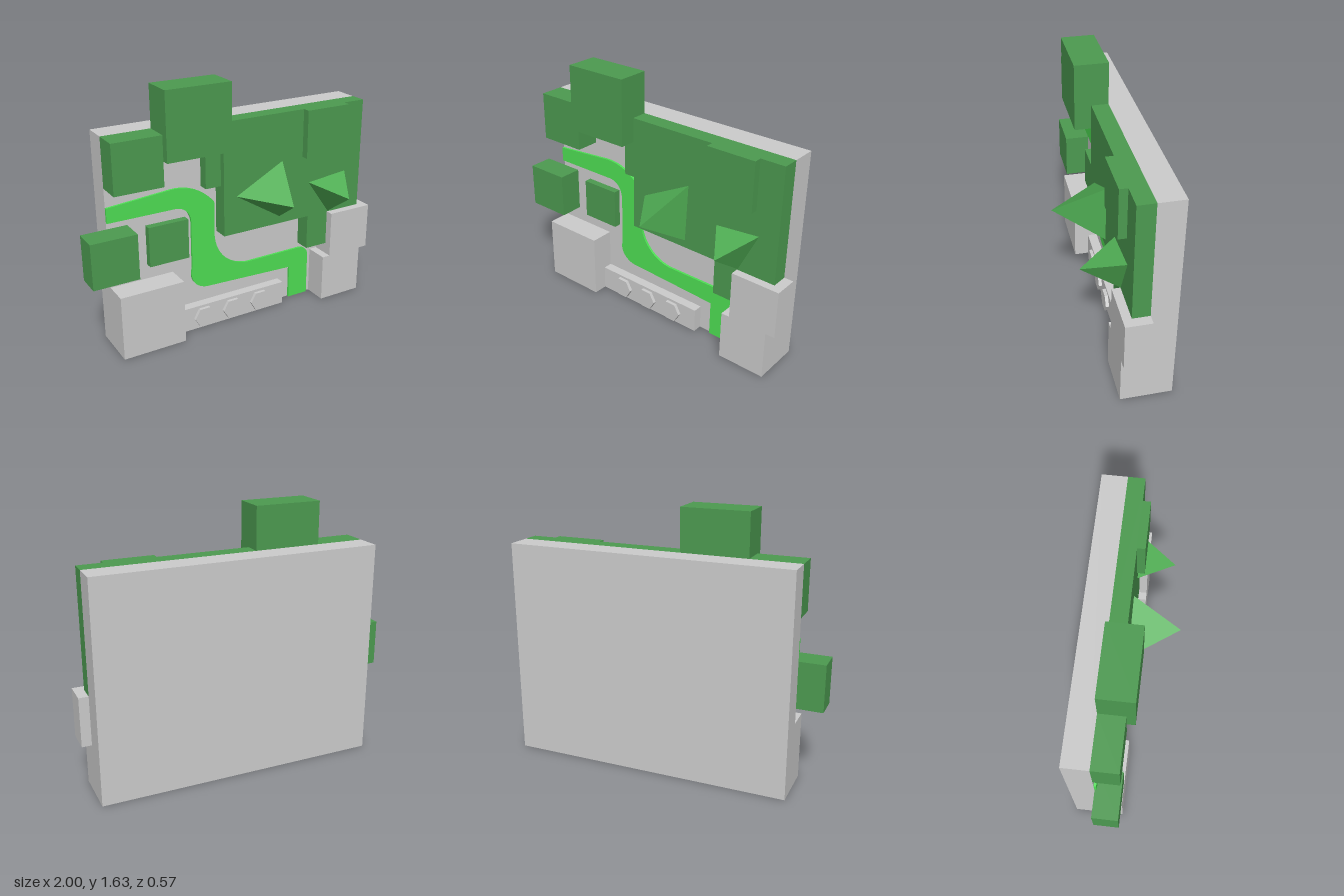
import * as THREE from 'three';

const material = (color) => new THREE.MeshStandardMaterial({ color, flatShading: true });

export function createModel() {
  const model = new THREE.Group();
  const grey = material(0xcccccc);
  const leaf = material(0x4c9a50);
  const peak = material(0x50ae54);
  const lane = material(0x4edf54);
  const BACK = -0.285, FACE = -0.127; // back and front of the slab

  function add(name, geometry, mat) {
    const mesh = new THREE.Mesh(geometry, mat);
    mesh.name = name;
    model.add(mesh);
    return mesh;
  }

  // Box given by its extents
  function block(name, mat, x0, x1, y0, y1, z1, z0 = FACE) {
    add(name, new THREE.BoxGeometry(x1 - x0, y1 - y0, z1 - z0), mat)
      .position.set((x0 + x1) / 2, (y0 + y1) / 2, (z0 + z1) / 2);
  }

  // Backing slab
  block('slab', grey, -0.84, 0.94, 0, 1.37, FACE, BACK);

  // Grey blocks
  block('lowerLeftBlock', grey, -0.84, -0.425, 0, 0.42, 0.03);
  block('lowerRightBlock', grey, 0.63, 0.94, 0, 0.32, 0.03);
  block('upperRightBlock', grey, 0.685, 1, 0.32, 0.63, 0.03);
  block('rowBlock', grey, -0.425, 0.365, 0, 0.16, -0.065);

  // Green blocks
  block('cornerBlock', leaf, -0.84, -0.53, 1.06, 1.37, 0.03);
  block('tallBlock', leaf, -0.53, -0.11, 1.215, 1.635, 0.08);
  block('sideBlock', leaf, -1, -0.71, 0.515, 0.805, 0.03);
  block('thinBlock', leaf, -0.595, -0.33, 0.515, 0.775, -0.08);
  block('stripBlock', leaf, -0.215, -0.11, 0.955, 1.215, -0.06);
  block('raisedPanel', leaf, 0.47, 0.785, 1.055, 1.37, 0.027, -0.025);

  // Large green field with its tab hanging down
  const field = new THREE.Shape([
    [-0.11, 0.63], [0.525, 0.63], [0.525, 0.395], [0.685, 0.395],
    [0.685, 0.63], [0.94, 0.63], [0.94, 1.37], [-0.11, 1.37],
  ].map(([x, y]) => new THREE.Vector2(x, y)));
  add('field', new THREE.ExtrudeGeometry(field, { depth: 0.105, bevelEnabled: false }), leaf)
    .position.z = FACE;

  // Three-sided peaks standing out from the field
  function addPeak(name, base, tip) {
    const [a, b, c] = base.map(([x, y]) => [x, y, -0.022]);
    const corners = [a, b, tip, b, c, tip, c, a, tip, a, c, b];
    const geometry = new THREE.BufferGeometry();
    geometry.setAttribute('position', new THREE.Float32BufferAttribute(corners.flat(), 3));
    geometry.computeVertexNormals();
    add(name, geometry, peak);
  }
  addPeak('largePeak', [[-0.02, 0.88], [0.3, 0.68], [0.315, 1.055]], [0.2, 0.87, 0.285]);
  addPeak('smallPeak', [[0.525, 0.87], [0.69, 0.635], [0.815, 0.9]], [0.68, 0.8, 0.212]);

  // Winding path
  const path = new THREE.Shape();
  path.moveTo(-0.84, 0.94);
  path.lineTo(-0.42, 0.975);
  path.bezierCurveTo(-0.3, 0.98, -0.2, 0.925, -0.13, 0.84);
  path.lineTo(-0.13, 0.6);
  path.bezierCurveTo(-0.12, 0.47, -0.02, 0.37, 0.11, 0.36);
  path.lineTo(0.53, 0.362);
  path.quadraticCurveTo(0.59, 0.355, 0.6, 0.3);
  path.lineTo(0.6, 0);
  path.lineTo(0.45, 0);
  path.lineTo(0.45, 0.233);
  path.lineTo(-0.19, 0.26);
  path.bezierCurveTo(-0.25, 0.265, -0.3, 0.31, -0.3, 0.37);
  path.lineTo(-0.293, 0.42);
  path.lineTo(-0.293, 0.73);
  path.bezierCurveTo(-0.295, 0.8, -0.34, 0.845, -0.4, 0.845);
  path.lineTo(-0.84, 0.845);
  add('path', new THREE.ExtrudeGeometry(path, { depth: 0.015, bevelEnabled: false }), lane)
    .position.z = FACE;

  // Row of hexagonal studs
  for (const x of [-0.243, -0.033, 0.177]) {
    const stud = new THREE.CylinderGeometry(0.072, 0.072, 0.03, 6);
    stud.rotateY(Math.PI / 6 + Math.PI / 3 * 1).rotateX(Math.PI / 2);
    add('stud', stud, grey).position.set(x, 0.08, -0.058);
  }

  return model;
}
